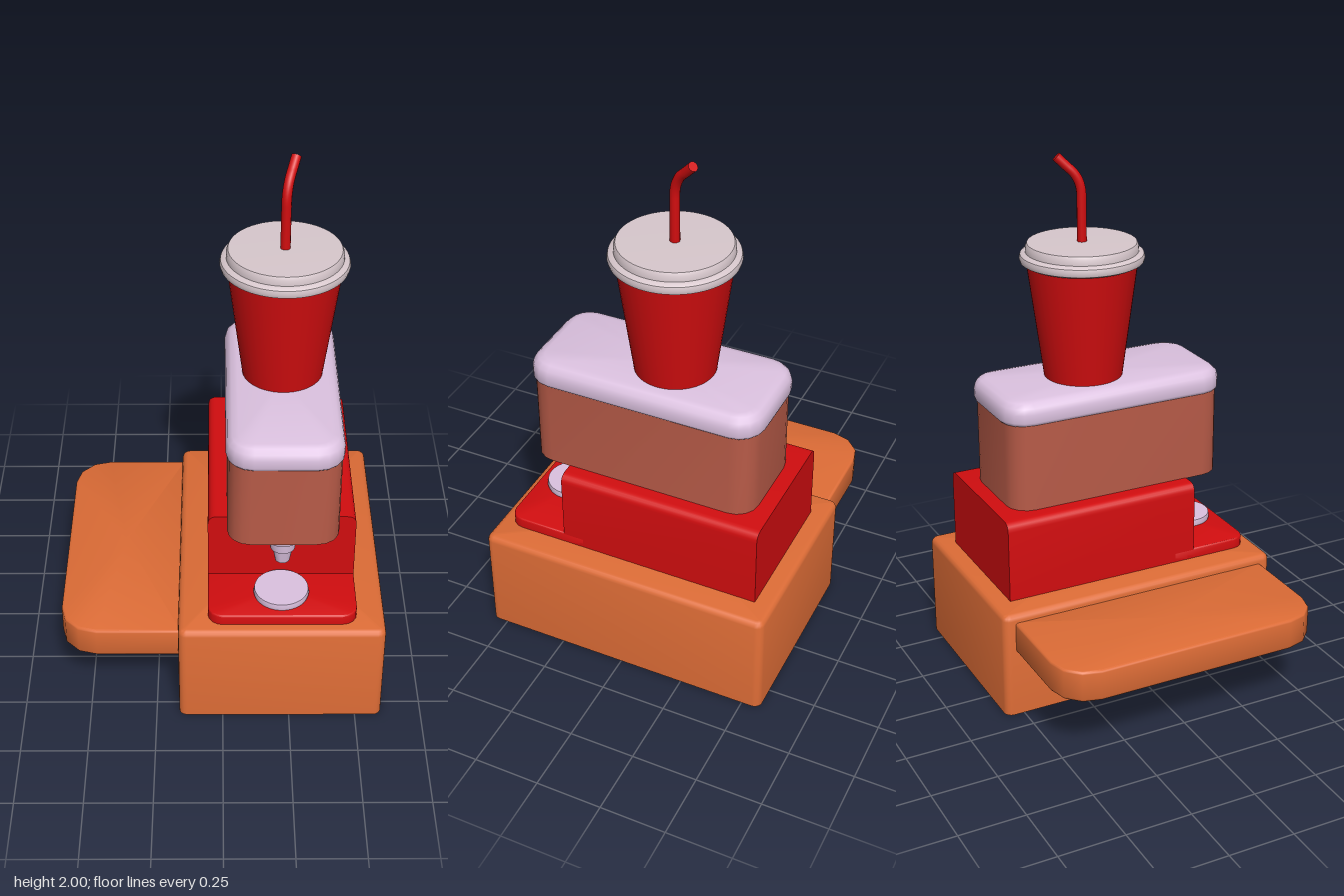
import * as THREE from 'three';
import { toCreasedNormals } from 'three/addons/utils/BufferGeometryUtils.js';

const paint = (name, color) => {
  const m = new THREE.MeshStandardMaterial({ color });
  m.name = name;
  return m;
};

// Rounded rectangle [x0, x1, z0, z1] lofted upward through rings of [y, inset].
// Corner radii run: +x+z, -x+z, -x-z, +x-z.
function roundedBlock([x0, x1, z0, z1], radii, rings, steps = 4) {
  const pos = [], index = [];
  const corners = [[1, 1], [-1, 1], [-1, -1], [1, -1]];
  const n = 4 * (steps + 1);
  for (const [y, inset] of rings) {
    corners.forEach(([sx, sz], c) => {
      const r = Math.max(radii[c] - inset, 0.002);
      const cx = sx > 0 ? x1 - inset - r : x0 + inset + r;
      const cz = sz > 0 ? z1 - inset - r : z0 + inset + r;
      for (let i = 0; i <= steps; i++) {
        const a = (c + i / steps) * Math.PI / 2;
        pos.push(cx + r * Math.cos(a), y, cz + r * Math.sin(a));
      }
    });
  }
  for (let k = 0; k < rings.length - 1; k++) {
    for (let i = 0; i < n; i++) {
      const j = (i + 1) % n, a = k * n, b = a + n;
      index.push(a + i, b + i, a + j, a + j, b + i, b + j);
    }
  }
  // flat caps
  const mx = (x0 + x1) / 2, mz = (z0 + z1) / 2, last = (rings.length - 1) * n;
  const low = pos.length / 3;
  pos.push(mx, rings[0][0], mz, mx, rings[rings.length - 1][0], mz);
  for (let i = 0; i < n; i++) {
    const j = (i + 1) % n;
    index.push(low, i, j, low + 1, last + j, last + i);
  }
  const g = new THREE.BufferGeometry();
  g.setAttribute('position', new THREE.Float32BufferAttribute(pos, 3));
  g.setIndex(index);
  return toCreasedNormals(g, 0.7);
}

// Rings for a block whose top edge (and optionally bottom edge) is rounded
function roundedRings(y0, y1, top, bottom = 0) {
  const rings = [];
  const arc = [0, 1, 2, 3].map(i => i * Math.PI / 6);
  if (bottom) arc.forEach(a => rings.push([y0 + bottom * (1 - Math.cos(Math.PI / 2 - a)), bottom * (1 - Math.sin(Math.PI / 2 - a))].reverse()));
  else rings.push([y0, 0]);
  if (bottom) {
    rings.length = 0;
    arc.forEach(a => rings.push([y0 + bottom * (1 - Math.cos(a)), bottom * (1 - Math.sin(a))]));
  }
  arc.forEach(a => rings.push([y1 - top * (1 - Math.sin(a)), top * (1 - Math.cos(a))]));
  return rings;
}

function turned(points, segments = 48) {
  const g = new THREE.LatheGeometry(points.map(p => new THREE.Vector2(...p)), segments);
  return toCreasedNormals(g, 0.6);
}

export function createModel() {
  const group = new THREE.Group();
  const orange = paint('counter orange', 0xdd6c36);
  const red = paint('red', 0xd20d0f);
  const brown = paint('tank brown', 0xb85b48);
  const lilac = paint('lilac', 0xdcc2e0);
  const pale = paint('cup lid pale pink', 0xd8c8cd);

  const add = (name, geometry, material, x = 0, y = 0, z = 0) => {
    const mesh = new THREE.Mesh(geometry, material);
    mesh.name = name;
    mesh.position.set(x, y, z);
    group.add(mesh);
    return mesh;
  };

  // Counter and side shelf
  add('counter', roundedBlock([-0.165, 0.6, -0.57, 0.567], [0.03, 0.03, 0.03, 0.03],
    roundedRings(0, 0.417, 0.022)), orange);
  add('sideShelf', roundedBlock([-0.604, -0.15, -0.525, 0.522], [0, 0.137, 0.137, 0],
    roundedRings(0.266, 0.386, 0.01, 0.01), 3), orange);

  // Dispenser body with rounded long top edges
  const [l, r, b, t, c] = [-0.055, 0.495, 0.415, 0.732, 0.035];
  const profile = new THREE.Shape();
  profile.moveTo(l, b);
  profile.lineTo(r, b);
  profile.lineTo(r, t - c);
  profile.quadraticCurveTo(r, t, r - c, t);
  profile.lineTo(l + c, t);
  profile.quadraticCurveTo(l, t, l, t - c);
  profile.closePath();
  const body = new THREE.ExtrudeGeometry(profile, { depth: 0.78, bevelEnabled: false, curveSegments: 5 });
  add('dispenserBody', toCreasedNormals(body, 0.7), red, 0, 0, -0.498);

  // Front tray and drip plate
  add('dripTray', roundedBlock([l, r, 0.2, 0.52], [0.055, 0.055, 0, 0],
    roundedRings(0.415, 0.458, 0.006)), red);
  add('dripPlate', turned([[0, 0.455], [0.1, 0.455], [0.103, 0.465], [0.1, 0.483], [0, 0.483]]),
    lilac, 0.218, 0, 0.388);

  // Nozzle under the tank overhang
  add('nozzle', turned([[0, 0.6], [0.027, 0.6], [0.037, 0.655], [0.046, 0.66], [0.05, 0.702],
    [0.064, 0.707], [0.069, 0.735], [0, 0.735]], 24), lilac, 0.22, 0, 0.362);

  // Tank and its lid
  add('tank', roundedBlock([0.016, 0.425, -0.438, 0.44], [0.085, 0.085, 0.085, 0.085],
    [[0.73, 0], [1.075, 0]]), brown);
  add('tankLid', roundedBlock([0.01, 0.432, -0.452, 0.453], [0.1, 0.1, 0.1, 0.1],
    roundedRings(1.065, 1.157, 0.045, 0.016)), lilac);

  // Drink cup with lid
  const cx = 0.222, cz = -0.056;
  add('cup', turned([[0, 1.15], [0.148, 1.15], [0.208, 1.6], [0, 1.6]]), red, cx, 0, cz);
  add('cupLid', turned([[0, 1.595], [0.218, 1.595], [0.229, 1.601], [0.233, 1.615], [0.229, 1.629],
    [0.218, 1.636], [0.21, 1.638], [0.209, 1.658], [0.203, 1.67], [0, 1.672]], 64), pale, cx, 0, cz);

  // Bent straw
  const path = new THREE.CurvePath();
  const v = (x, y, z) => new THREE.Vector3(cx + x, y, cz + z);
  path.add(new THREE.LineCurve3(v(0, 1.64, 0), v(0, 1.84, 0)));
  path.add(new THREE.QuadraticBezierCurve3(v(0, 1.84, 0), v(0, 1.91, 0), v(0.018, 1.947, -0.045)));
  path.add(new THREE.LineCurve3(v(0.018, 1.947, -0.045), v(0.034, 1.987, -0.083)));
  add('straw', new THREE.TubeGeometry(path, 32, 0.018, 12), red);
  const tip = add('strawTip', new THREE.CircleGeometry(0.018, 12), red, cx + 0.034, 1.987, cz - 0.083);
  tip.quaternion.setFromUnitVectors(new THREE.Vector3(0, 0, 1),
    new THREE.Vector3(0.016, 0.04, -0.038).normalize());

  return group;
}
